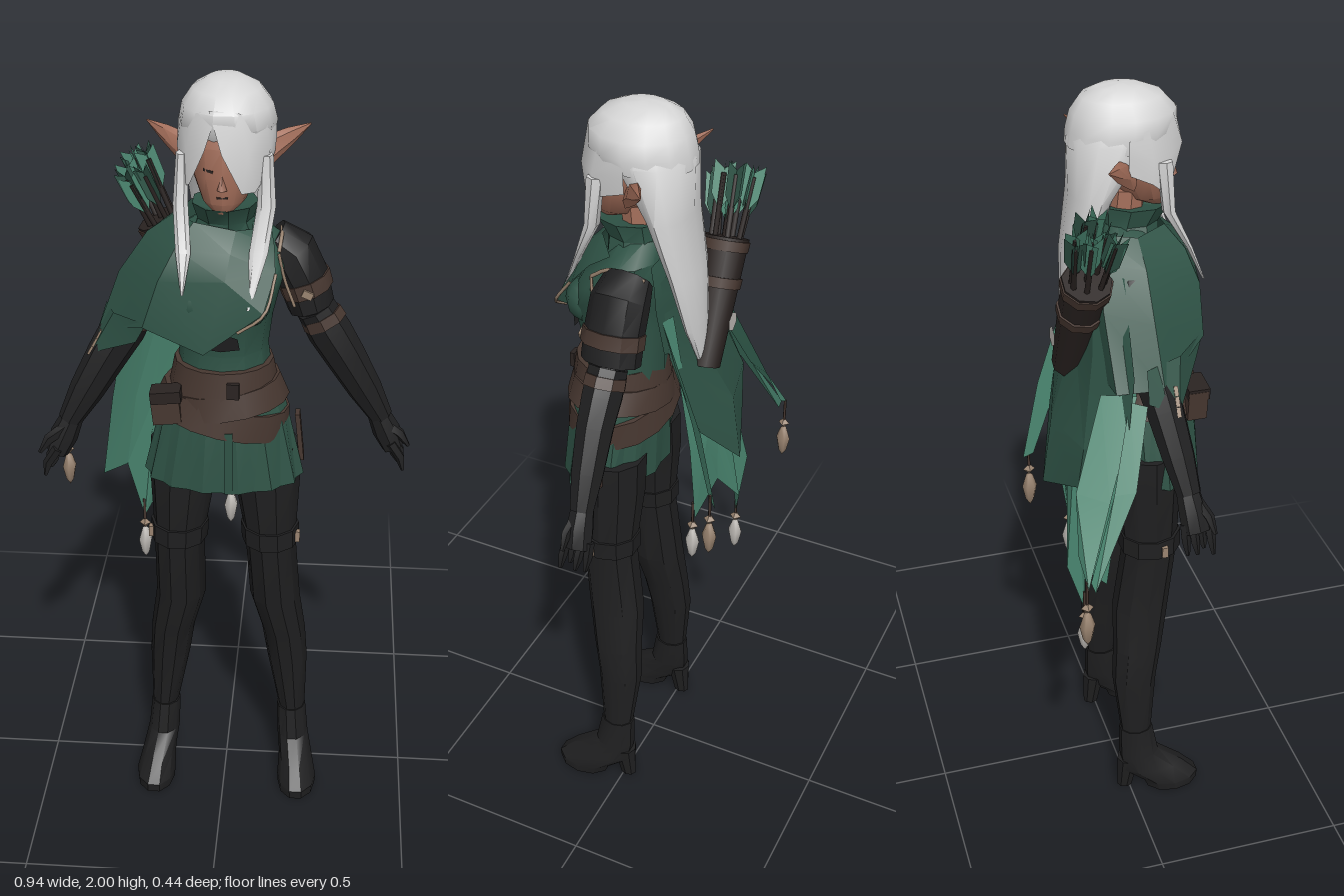
import * as THREE from 'three';
import { toCreasedNormals } from 'three/addons/utils/BufferGeometryUtils.js';

const mat = (name, color, side = THREE.FrontSide) => {
  const m = new THREE.MeshStandardMaterial({ color, side });
  m.name = name;
  return m;
};

export function createModel() {
  const root = new THREE.Group();
  root.name = 'elfArcher';
  const D = THREE.DoubleSide;
  const black = mat('blackLeather', 0x1f1f20, D);
  const green = mat('darkGreenCloth', 0x2f5346, D);
  const teal = mat('paleGreenCloth', 0x4a8670, D);
  const brown = mat('brownLeather', 0x473730);
  const dark = mat('darkBrownLeather', 0x2a2321);
  const skin = mat('skin', 0xa26d59);
  const hair = mat('silverHair', 0xd6d6d6, D);
  const silver = mat('silverMetal', 0xbdb9b4);
  const tan = mat('tanBeads', 0x9a8470);

  const add = (name, geo, material, parent = root) => {
    const mesh = new THREE.Mesh(geo, material);
    mesh.name = name;
    parent.add(mesh);
    return mesh;
  };
  const build = (pos, idx, crease) => {
    const g = new THREE.BufferGeometry();
    g.setAttribute('position', new THREE.Float32BufferAttribute(pos, 3));
    g.setIndex(idx);
    return toCreasedNormals(g, crease);
  };

  // Closed skin over elliptical rings [x, y, z, rx, rz, pleat]; rings may follow the path
  const loft = (rings, { n = 10, follow = false, crease = 0.6 } = {}) => {
    const pos = [], idx = [], Z = new THREE.Vector3(0, 0, 1);
    const C = rings.map(r => new THREE.Vector3(r[0], r[1], r[2]));
    const last = rings.length - 1;
    rings.forEach((r, i) => {
      const t = C[Math.min(i + 1, last)].clone().sub(C[Math.max(i - 1, 0)]);
      if (!follow) t.set(0, Math.sign(t.y), 0);
      t.normalize().negate();
      const u = Z.clone().cross(t).normalize(), w = t.clone().cross(u);
      for (let j = 0; j < n; j++) {
        const a = j / n * Math.PI * 2, k = 1 + (r[5] || 0) * (j % 2 ? -1 : 1);
        const p = C[i].clone().addScaledVector(u, r[3] * k * Math.cos(a)).addScaledVector(w, r[4] * k * Math.sin(a));
        pos.push(p.x, p.y, p.z);
      }
    });
    pos.push(...C[0].toArray(), ...C[last].toArray());
    const c0 = n * rings.length;
    for (let j = 0; j < n; j++) {
      const k = (j + 1) % n;
      for (let i = 0; i < last; i++) {
        const a = i * n + j, b = i * n + k;
        idx.push(a, a + n, b, b, a + n, b + n);
      }
      idx.push(c0, j, k, c0 + 1, last * n + k, last * n + j);
    }
    return build(pos, idx, crease);
  };
  // Open cloth through rows of points
  const sheet = (rows, crease = 0.4) => {
    const m = rows[0].length, idx = [];
    for (let i = 0; i < rows.length - 1; i++) for (let j = 0; j < m - 1; j++) {
      const a = i * m + j;
      idx.push(a, a + m, a + 1, a + 1, a + m, a + m + 1);
    }
    return build(rows.flat(2), idx, crease);
  };
  const box = (name, size, at, material, rz = 0) => {
    const b = add(name, new THREE.BoxGeometry(...size), material);
    b.position.set(...at);
    b.rotation.z = rz;
    return b;
  };
  const flip = (s, rings) => rings.map(([x, ...r]) => [s * x, ...r]);
  const cord = (name, pts, r, material) => add(name, new THREE.TubeGeometry(
    new THREE.CatmullRomCurve3(pts.map(p => new THREE.Vector3(...p))), 8, r, 5), material);

  // Legs, boots and straps
  for (const s of [-1, 1]) {
    const low = s * .007;
    add('leg', loft(flip(s, [[.1, 1.08, .065, .09, .085], [.108, .98, .065, .086, .085], [.12, .8, .07, .066, .072],
      [.127 + low, .6, .046, .067, .075], [.152 + low, .48, .032, .059, .066], [.163 + low, .38, .02, .055, .06], [.18 + low, .2, .022, .036, .042]])), black);
    add('boot', loft(flip(s, [[.178 + low, .21, .022, .04, .047], [.184 + low, .12, .03, .043, .056], [.194 + low, .07, .068, .046, .088],
      [.2 + low, .025, .118, .054, .082], [.2 + low, 0, .122, .052, .076]])), black);
    add('heel', loft(flip(s, [[.184 + low, .1, .0, .034, .032], [.184 + low, 0, -.01, .018, .022]]), { n: 8 }), black);
    add('thighBand', loft(flip(s, [[.118, .84, .07, .076, .081], [.12, .79, .07, .075, .081]])), black);
    box('thighBuckle', [.012, .03, .016], [s * .192, .81, .09], tan);
  }

  // Pleated skirt, tunic, collar
  add('skirt', loft([[0, 1.32, .08, .112, .105], [0, 1.2, .09, .155, .12, .01], [0, 1.005, .097, .196, .122, .035]], { n: 28, crease: .2 }), green);
  add('tunic', loft([[0, 1.28, .08, .12, .11], [0, 1.36, .075, .108, .105], [0, 1.44, .08, .118, .118], [0, 1.5, .085, .132, .122],
    [0, 1.56, .06, .15, .11], [0, 1.63, .03, .13, .07], [0, 1.67, .03, .06, .055]], { n: 12 }), green);
  for (const s of [-1, 1]) add('bust', new THREE.SphereGeometry(.058, 10, 8), green).position.set(s * .058, 1.49, .146);
  add('waistPanel', sheet([[[-.04, 1.42, .201], [0, 1.435, .206], [.04, 1.42, .201]],
    [[-.045, 1.39, .196], [0, 1.385, .2], [.045, 1.39, .196]]]), black);
  add('neck', loft([[0, 1.64, .03, .045, .045], [0, 1.75, .04, .042, .042]], { n: 8 }), skin);
  add('collar', loft([[0, 1.62, .04, .09, .075], [0, 1.67, .045, .068, .07], [0, 1.715, .058, .08, .088], [0, 1.69, .05, .055, .06]], { n: 9 }), green);

  // Belts, pouch and buckles
  const belt = (name, y, h, rx, rz, tilt) => {
    const b = add(name, loft([[0, -h, 0, rx + .008, rz + .006], [0, h, 0, rx - .008, rz - .006]], { n: 16 }), brown);
    b.position.set(0, y, .087);
    b.rotation.z = tilt;
  };
  belt('waistBelt', 1.285, .04, .13, .119, 0);
  belt('slungBelt', 1.195, .034, .168, .132, -.22);
  belt('crossBelt', 1.235, .03, .152, .128, .14);
  box('beltPouch', [.07, .08, .05], [-.135, 1.225, .175], brown, .1);
  box('pouchFlap', [.075, .03, .055], [-.135, 1.258, .177], dark, .1);
  box('beltBuckle', [.03, .04, .012], [.03, 1.285, .207], dark);
  box('hipStrap', [.012, .13, .035], [.19, 1.1, .07], brown, .1);
  box('skirtRibbon', [.02, .17, .008], [.02, 1.09, .217], green);

  // Arms: sleeve, glove, hand and fingers
  for (const s of [-1, 1]) {
    const k = s < 0 ? .76 : 1;
    const z = x => s > 0 ? .012 - Math.max(0, x - .3) * .12 : .02 + Math.max(0, x - .2) * .3;
    const limb = (name, rings, material, n = 8) =>
      add(name, loft(flip(s, rings.map(([x, y, a, b]) => [x, y, z(x), a, b])), { n, follow: true }), material);
    limb('sleeve', [[.11, 1.605, .05 * k, .06 * k], [.155, 1.57, .067 * k, .072 * k], [.185, 1.51, .064 * k, .073 * k], [.208, 1.435, .058 * k, .074 * k]], black, 10);
    limb('upperArm', [[.2, 1.47, .042, .045], [.255, 1.37, .04, .042]], black);
    limb('glove', [[.22, 1.425, .05, .05], [.255, 1.365, .056, .05], [.295, 1.3, .052, .046], [.35, 1.205, .044, .04], [.395, 1.125, .03, .03]], black);
    limb('gloveBand', [[.232, 1.41, .054, .052], [.245, 1.385, .057, .053]], brown);
    limb('hand', [[.385, 1.14, .028, .028], [.41, 1.085, .036, .034], [.43, 1.04, .03, .036]], black);
    for (let i = 0; i < 4; i++) {
      const zz = z(.43) - .03 + i * .02, t = s * (.437 + (i % 2) * .012);
      add('finger', loft([[s * .423, 1.06, zz, .014, .012], [t, 1.02, zz, .013, .011],
        [t + s * .008, .985 + (i % 3) * .007, zz + .004, .005, .005]], { n: 5, follow: true }), black);
    }
    add('thumb', loft([[s * .405, 1.11, z(.41) + .012, .016, .014], [s * .445, 1.085, z(.44) + .022, .014, .012],
      [s * .468, 1.05, z(.46) + .024, .005, .005]], { n: 5, follow: true }), black);
    if (s > 0) limb('sleeveBand', [[.187, 1.51, .067, .077], [.199, 1.475, .065, .078]], brown, 10);
  }
  box('sleeveBuckle', [.026, .018, .01], [.2, 1.49, .088], tan, -.4);
  cord('shoulderChain', [[.13, 1.6, .1], [.135, 1.632, .05], [.13, 1.62, -.04]], .005, tan);
  cord('sleeveChain', [[.13, 1.6, .1], [.145, 1.53, .092], [.17, 1.46, .09]], .004, tan);

  // Face and pointed ears
  add('head', loft([[0, 1.705, .112, .022, .025], [0, 1.73, .088, .052, .06], [0, 1.79, .07, .076, .082], [0, 1.86, .06, .083, .088], [0, 1.94, .04, .078, .08]], { n: 12 }), skin);
  box('mouth', [.026, .004, .006], [0, 1.748, .146], dark);
  for (const s of [-1, 1]) {
    box('eye', [.024, .006, .006], [s * .032, 1.81, .139], dark, s * .15).rotation.y = s * .4;
    add('ear', loft(flip(s, [[.07, 1.795, .03, .03, .012], [.105, 1.825, .0, .032, .016], [.15, 1.845, -.03, .02, .009], [.195, 1.865, -.06, .002, .002]]),
      { n: 6, follow: true }), skin);
  }
  add('nose', new THREE.ConeGeometry(.012, .035, 4), skin).position.set(0, 1.785, .152);

  // Hair: crown, long back fall, parted fringe and side locks
  add('hairCrown', loft([[.004, 1.865, .012, .11, .12], [.005, 1.90, .025, .115, .13], [.004, 1.94, .03, .106, .125],
    [.002, 1.975, .025, .08, .097], [0, 1.995, .02, .042, .055], [0, 2.0, .02, .012, .016]], { n: 14, crease: .8 }), hair);
  add('hairBack', loft([[.004, 1.93, .01, .09, .09], [.004, 1.885, -.004, .113, .102], [.003, 1.75, -.052, .106, .052], [0, 1.6, -.09, .086, .034],
    [-.01, 1.45, -.11, .056, .02], [-.02, 1.33, -.12, .006, .005]], { n: 12, crease: .9 }), hair);
  add('fringeLeft', sheet([[[-.03, 1.95, .145], [.04, 1.945, .145], [.095, 1.93, .09], [.116, 1.91, .02]],
    [[.0, 1.855, .167], [.06, 1.85, .155], [.106, 1.85, .105], [.118, 1.86, .02]],
    [[.045, 1.76, .152], [.075, 1.76, .135], [.1, 1.79, .1], [.114, 1.82, .02]]], .8), hair);
  add('fringeRight', sheet([[[-.01, 1.95, .145], [-.06, 1.94, .13], [-.1, 1.92, .06], [-.112, 1.9, .01]],
    [[-.04, 1.86, .16], [-.085, 1.85, .12], [-.11, 1.85, .07], [-.112, 1.86, .01]],
    [[-.078, 1.77, .12], [-.095, 1.76, .105], [-.106, 1.79, .07], [-.11, 1.82, .01]]], .8), hair);
  add('lockRight', loft([[-.096, 1.84, .1, .014, .02], [-.1, 1.72, .11, .018, .016], [-.09, 1.62, .165, .018, .008], [-.09, 1.53, .205, .003, .003]], { n: 6 }), hair);
  add('lockLeft', loft([[.098, 1.84, .1, .016, .022], [.1, 1.72, .11, .022, .018], [.085, 1.62, .155, .022, .008], [.065, 1.5, .21, .004, .004]], { n: 6 }), hair);

  // Shoulder mantle wrapping over the right arm
  add('mantle', sheet([
    [[.11, 1.65, .06], [.03, 1.66, .12], [-.07, 1.675, .11], [-.12, 1.67, .03], [-.09, 1.675, -.05], [0, 1.67, -.06], [.1, 1.64, -.04]],
    [[.12, 1.62, .11], [.02, 1.62, .17], [-.11, 1.625, .15], [-.19, 1.62, .03], [-.14, 1.625, -.06], [-.01, 1.61, -.075], [.115, 1.6, -.055]],
    [[.125, 1.57, .155], [.01, 1.565, .205], [-.15, 1.55, .175], [-.262, 1.515, .03], [-.2, 1.53, -.075], [-.02, 1.53, -.085], [.125, 1.54, -.065]],
    [[.1, 1.49, .212], [-.04, 1.385, .222], [-.19, 1.43, .175], [-.315, 1.37, .04], [-.29, 1.36, -.07], [-.04, 1.36, -.09], [.11, 1.42, -.08]]]), green);
  add('mantleTip', sheet([[[-.18, 1.44, .177], [-.27, 1.43, .09], [-.3, 1.42, 0]], [[-.21, 1.38, .15], [-.335, 1.31, .07], [-.32, 1.34, 0]]]), green);
  cord('hemChain', [[.126, 1.57, .157], [.102, 1.49, .214], [.04, 1.445, .221]], .004, tan);

  // Back cape: dark outer layer over a pale, ragged one
  add('capeOuter', sheet([
    [[-.18, 1.6, -.02], [-.1, 1.63, -.07], [0, 1.63, -.075], [.09, 1.6, -.06]],
    [[-.3, 1.4, -.03], [-.17, 1.4, -.095], [-.03, 1.4, -.1], [.09, 1.4, -.085]],
    [[-.325, 1.27, -.05], [-.25, 1.2, -.14], [-.09, 1.2, -.18], [.07, 1.25, -.13]],
    [[-.31, 1.19, -.07], [-.23, 1.08, -.15], [-.09, 1.02, -.205], [.045, 1.17, -.15]]]), green);
  add('capeInner', sheet([
    [[-.25, 1.4, .0], [-.2, 1.42, -.05], [-.16, 1.42, -.07], [-.12, 1.42, -.08], [-.07, 1.42, -.08], [0, 1.42, -.08], [.04, 1.42, -.07]],
    [[-.305, 1.12, -.06], [-.25, 1.1, -.11], [-.2, 1.1, -.12], [-.15, 1.1, -.14], [-.09, 1.1, -.14], [-.02, 1.1, -.14], [.04, 1.1, -.12]],
    [[-.345, .86, -.11], [-.285, .87, -.15], [-.24, .71, -.14], [-.185, .81, -.17], [-.1, .92, -.14], [0, .85, -.12], [.035, .95, -.13]]], .25), teal);
  const ribbon = (name, a, b, c) => add(name, sheet([a, b, c]), teal);
  ribbon('rightStreamer', [[-.29, 1.35, -.02], [-.26, 1.35, -.1]], [[-.375, 1.12, -.11], [-.325, 1.13, -.18]], [[-.47, .95, -.19], [-.4, 1.0, -.195]]);
  ribbon('rightStreamer', [[-.31, 1.33, .0], [-.295, 1.34, -.04]], [[-.39, 1.15, -.05], [-.375, 1.14, -.1]], [[-.46, .93, -.17], [-.455, .96, -.18]]);
  ribbon('leftStreamer', [[.06, 1.5, -.08], [.1, 1.5, -.07]], [[.055, 1.2, -.13], [.09, 1.2, -.17]], [[.075, 1.0, -.19], [.09, .98, -.215]]);

  // Hanging charms: tan beads above silver drops
  const charm = new THREE.LatheGeometry([[0, -.075], [.012, -.055], [.02, -.015], [.009, .02], [0, .025]].map(p => new THREE.Vector2(...p)), 6);
  for (const [x, y, z, m] of [[-.455, .85, -.19, tan], [-.24, .65, -.14, silver], [.003, .79, -.115, silver], [.09, .905, -.2, tan]]) {
    add('charm', charm, m).position.set(x, y, z);
    add('charmBead', new THREE.OctahedronGeometry(.016), tan).position.set(x, y + .038, z);
    add('charmCord', new THREE.CylinderGeometry(.004, .004, .07, 5), brown).position.set(x, y + .08, z);
  }
  for (let i = 0; i < 3; i++) box('mantleClasp', [.012, .024, .01], [-.308 - i * .012, 1.36 - i * .022, .068], tan, -.5);

  // Quiver with fletched arrows, tilted along the back
  const quiver = new THREE.Group();
  quiver.name = 'quiver';
  quiver.position.set(-.105, 1.46, -.113);
  quiver.rotation.set(.04, 0, .46);
  root.add(quiver);
  add('quiverBody', new THREE.CylinderGeometry(.06, .042, .32, 9), dark, quiver);
  for (const y of [.05, .14])
    add('quiverBand', new THREE.CylinderGeometry(.058 + y * .04, .056 + y * .04, .026, 9), brown, quiver).position.y = y;
  const badge = add('quiverBadge', new THREE.CircleGeometry(.026, 6), silver, quiver);
  badge.position.set(0, -.04, -.057);
  badge.rotation.y = Math.PI;
  for (let i = 0; i < 9; i++) {
    const a = i * 2.4, r = i ? .034 : 0, arrow = new THREE.Group();
    arrow.name = 'arrow';
    arrow.position.set(Math.cos(a) * r, .115, Math.sin(a) * r);
    arrow.rotation.set(Math.sin(a) * .08, a, -Math.cos(a) * .1);
    quiver.add(arrow);
    const h = .165 + (i % 3) * .015;
    add('arrowShaft', new THREE.CylinderGeometry(.007, .007, h, 5), dark, arrow).position.y = h / 2;
    const vane = new THREE.Shape([[-.006, 0], [.006, 0], [.024, .03], [.026, .11], [0, .09], [-.026, .11], [-.024, .03]].map(p => new THREE.Vector2(...p)));
    for (const q of [0, Math.PI / 2]) {
      const f = add('fletching', new THREE.ShapeGeometry(vane), i % 2 ? green : teal, arrow);
      f.position.y = h - .08;
      f.rotation.y = q;
    }
  }
  return root;
}
